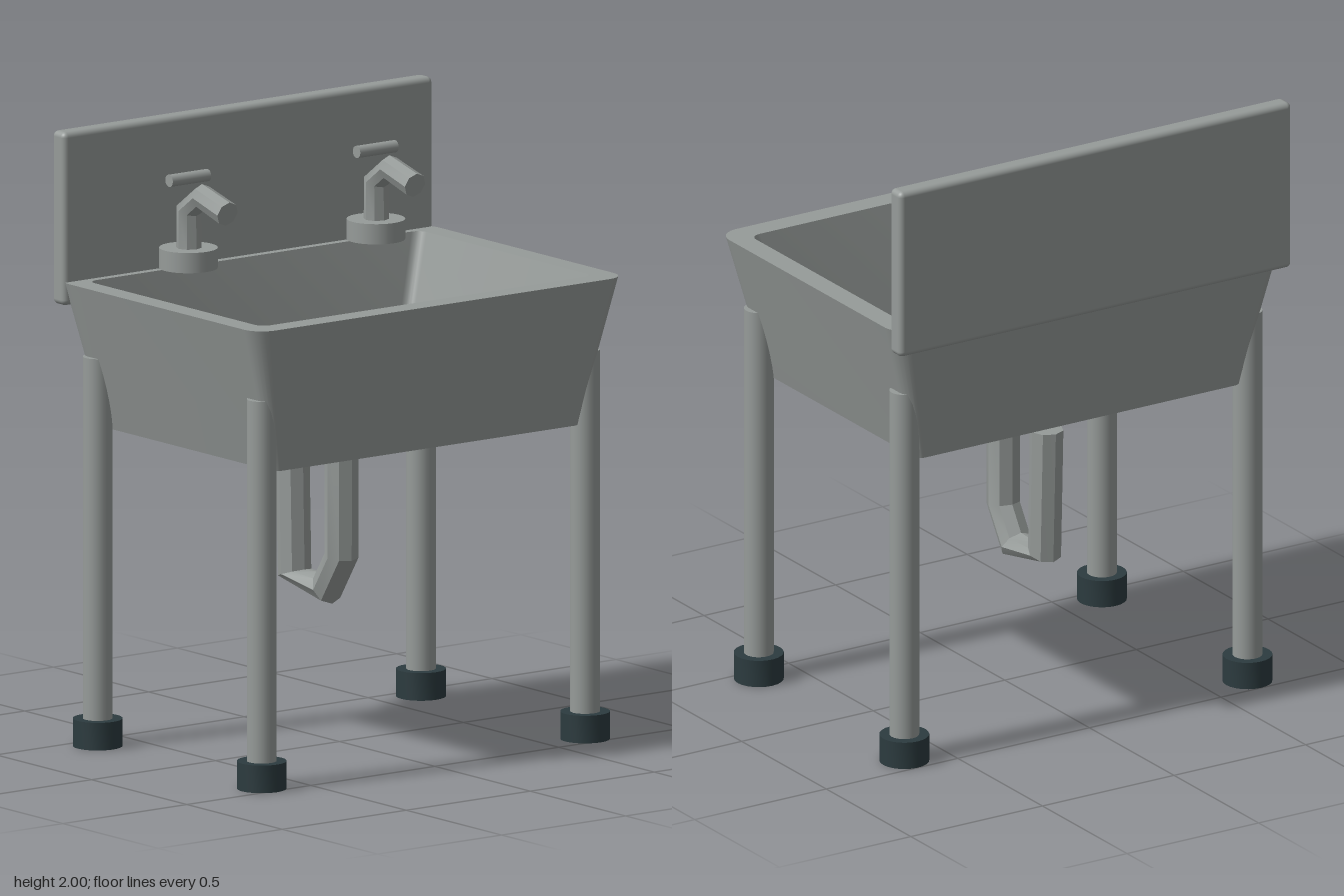
import * as THREE from 'three';
import { toCreasedNormals } from 'three/addons/utils/BufferGeometryUtils.js';
import { RoundedBoxGeometry } from 'three/addons/geometries/RoundedBoxGeometry.js';

const steel = new THREE.MeshStandardMaterial({ color: 0x969b99 });
const rubber = new THREE.MeshStandardMaterial({ color: 0x2c3b3f });

// Skin a series of equal-length point loops and close both ends with fans.
function loft(rings) {
  const n = rings[0].length, pos = [], index = [];
  rings.forEach(r => r.forEach(p => pos.push(p.x, p.y, p.z)));
  for (let i = 0; i < rings.length - 1; i++) {
    for (let j = 0; j < n; j++) {
      const k = (j + 1) % n;
      const a = i * n + j, b = i * n + k, c = b + n, d = a + n;
      index.push(a, d, c, a, c, b);
    }
  }
  [0, rings.length - 1].forEach((i, end) => {
    const mid = rings[i].reduce((s, p) => s.add(p), new THREE.Vector3()).divideScalar(n);
    const m = pos.length / 3;
    pos.push(mid.x, mid.y, mid.z);
    for (let j = 0; j < n; j++) {
      const a = i * n + j, b = i * n + (j + 1) % n;
      if (end) index.push(m, b, a); else index.push(m, a, b);
    }
  });
  const g = new THREE.BufferGeometry();
  g.setAttribute('position', new THREE.Float32BufferAttribute(pos, 3));
  g.setIndex(index);
  return toCreasedNormals(g, 0.4);
}

// Horizontal rounded rectangle at height y.
function roundedLoop(y, hx, zBack, zFront, r) {
  const pts = [], steps = 6;
  const corners = [[hx - r, zFront - r], [-hx + r, zFront - r], [-hx + r, zBack + r], [hx - r, zBack + r]];
  corners.forEach(([cx, cz], q) => {
    for (let s = 0; s <= steps; s++) {
      const a = (q + s / steps) * Math.PI / 2;
      pts.push(new THREE.Vector3(cx + r * Math.cos(a), y, cz + r * Math.sin(a)));
    }
  });
  return pts;
}

// Eight-sided pipe in the yz plane; stations are [z, y, tangentY, tangentZ].
function pipe(stations, radius) {
  return loft(stations.map(([z, y, ty, tz]) => {
    const len = Math.hypot(ty, tz), pts = [];
    for (let j = 0; j < 8; j++) {
      const a = j * Math.PI / 4, v = radius * Math.sin(a) / len;
      pts.push(new THREE.Vector3(radius * Math.cos(a), y - v * tz, z + v * ty));
    }
    return pts;
  }));
}

function add(parent, name, geometry, material, x = 0, y = 0, z = 0) {
  const m = new THREE.Mesh(geometry, material);
  m.name = name;
  m.position.set(x, y, z);
  parent.add(m);
  return m;
}

export function createModel() {
  const model = new THREE.Group();
  model.name = 'utilitySink';

  // Tapered basin: outer wall, flat rim, inner wall and floor
  add(model, 'basin', loft([
    roundedLoop(1.032, 0.615, -0.445, 0.465, 0.025),
    roundedLoop(1.512, 0.745, -0.52, 0.54, 0.07),
    roundedLoop(1.512, 0.67, -0.448, 0.463, 0.035),
    roundedLoop(1.112, 0.54, -0.378, 0.39, 0.03),
  ]), steel);

  // Upright back panel
  add(model, 'backsplash', new RoundedBoxGeometry(1.49, 0.565, 0.066, 3, 0.018), steel, 0, 1.7175, -0.508);

  // Legs with hollow rubber feet
  const legGeo = new THREE.CylinderGeometry(0.048, 0.048, 1.22, 24);
  const footProfile = [[0, 0.04], [0.05, 0.04], [0.05, 0], [0.08, 0], [0.08, 0.09], [0, 0.09]]
    .map(([x, y]) => new THREE.Vector2(x, y));
  const footGeo = toCreasedNormals(new THREE.LatheGeometry(footProfile, 24), 0.6);
  for (const x of [-0.652, 0.652]) {
    for (const z of [-0.42, 0.44]) {
      const leg = new THREE.Group();
      leg.name = (z > 0 ? 'front' : 'back') + (x > 0 ? 'LeftLeg' : 'RightLeg');
      leg.position.set(x, 0, z);
      add(leg, 'post', legGeo, steel, 0, 0.66, 0);
      add(leg, 'foot', footGeo, rubber);
      model.add(leg);
    }
  }

  // Pair of taps: round base, bent spout and crossbar handle
  const spoutGeo = pipe([
    [-0.298, 1.595, 1, 0], [-0.298, 1.735, 0.92, 0.4],
    [-0.225, 1.788, 0.1, 1], [-0.095, 1.752, -0.25, 0.97],
  ], 0.041);
  for (const x of [-0.378, 0.378]) {
    const tap = new THREE.Group();
    tap.name = x > 0 ? 'leftTap' : 'rightTap';
    tap.position.x = x;
    add(tap, 'tapBase', new THREE.CylinderGeometry(0.094, 0.094, 0.066, 32), steel, 0, 1.578, -0.3);
    add(tap, 'spout', spoutGeo, steel);
    const bar = add(tap, 'handle', new THREE.CylinderGeometry(0.02, 0.02, 0.155, 16), steel, 0, 1.837, -0.301);
    bar.rotation.z = Math.PI / 2;
    model.add(tap);
  }

  // Drain trap under the basin
  add(model, 'drainTrap', pipe([
    [0.01, 1.06, -1, 0], [0.01, 0.608, -1, -0.15], [-0.067, 0.49, -0.53, -0.85],
    [-0.235, 0.515, 0.95, -0.31], [-0.247, 0.942, 1, -0.02],
  ], 0.055), steel);

  return model;
}
